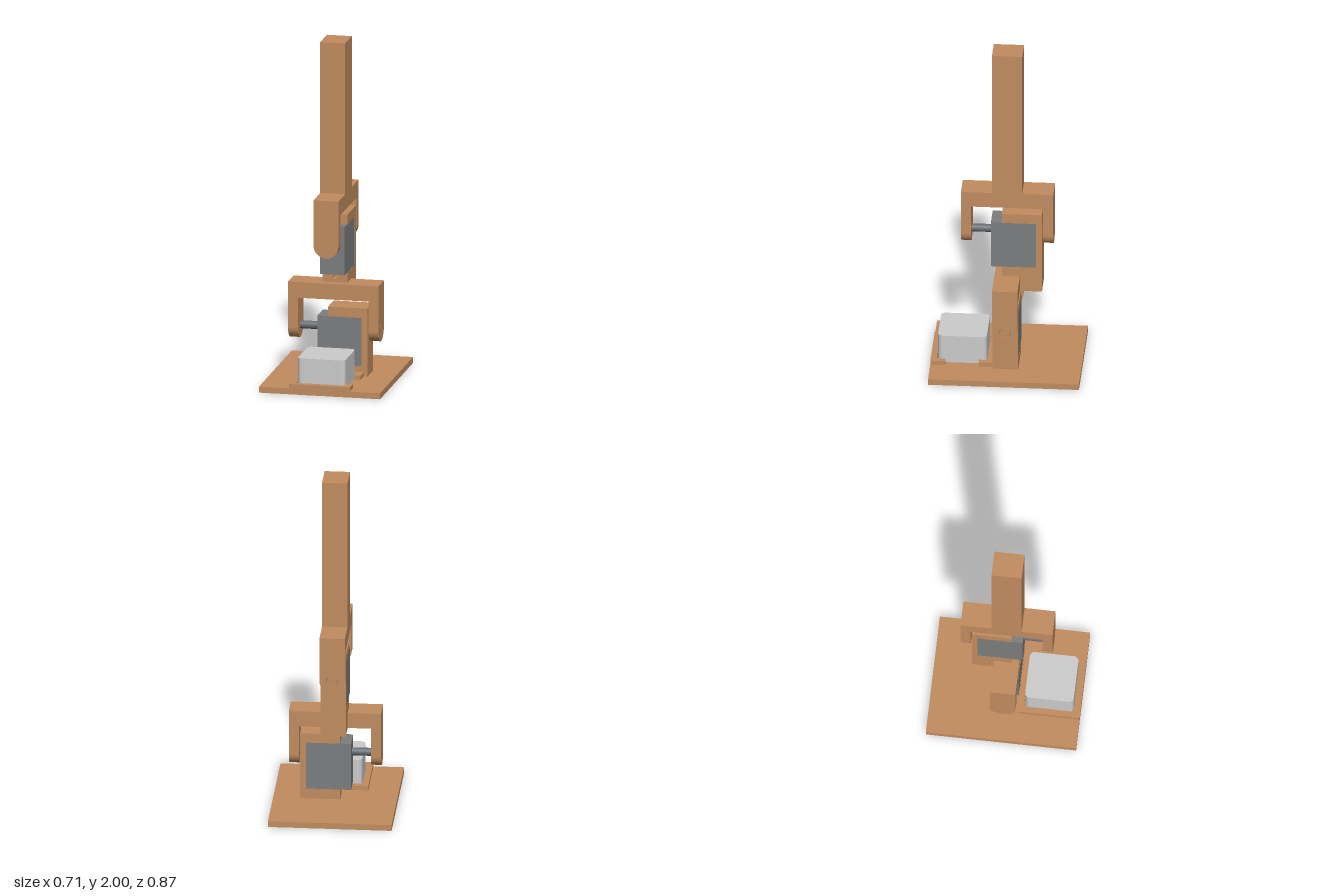
import * as THREE from 'three';

const mat = (color) => new THREE.MeshStandardMaterial({ color, roughness: 0.8 });
const WOOD = mat(0xc18c5f), MOTOR = mat(0x7b7d7e), SHAFT = mat(0x666b70), CASE = mat(0xd2d2cf);
const HALF = 0.073; // half width of brackets and yokes

function add(parent, name, geometry, material) {
  const mesh = new THREE.Mesh(geometry, material);
  mesh.name = name;
  parent.add(mesh);
  return mesh;
}

// Box given by its minimum and maximum on each axis
function box(parent, name, [x0, x1], [y0, y1], [z0, z1], material = WOOD) {
  const mesh = add(parent, name, new THREE.BoxGeometry(x1 - x0, y1 - y0, z1 - z0), material);
  mesh.position.set((x0 + x1) / 2, (y0 + y1) / 2, (z0 + z1) / 2);
  return mesh;
}

function rectangle(x0, x1, y0, y1) {
  return new THREE.Shape([[x0, y0], [x1, y0], [x1, y1], [x0, y1]].map(([x, y]) => new THREE.Vector2(x, y)));
}

function drill(shape, x, y, r) {
  shape.holes.push(new THREE.Path().absarc(x, y, r, 0, Math.PI * 2, true));
  return shape;
}

// Plate extruded along z from z0 to z1
function plate(shape, z0, z1) {
  const geometry = new THREE.ExtrudeGeometry(shape, { depth: z1 - z0, bevelEnabled: false, curveSegments: 24 });
  return geometry.translate(0, 0, z0);
}

// Cylinder or cone along z
function rod(r0, r1, z0, z1) {
  return new THREE.CylinderGeometry(r1, r0, z1 - z0, 32).rotateX(Math.PI / 2).translate(0, 0, (z0 + z1) / 2);
}

// Yoke arm with a round lower end
function armShape() {
  const shape = new THREE.Shape();
  shape.moveTo(HALF, 0.267);
  shape.lineTo(-HALF, 0.267);
  shape.lineTo(-HALF, 0);
  shape.absarc(0, 0, HALF, Math.PI, Math.PI * 2, false);
  shape.lineTo(HALF, 0.267);
  return shape;
}

// Motor, its bracket and the yoke it turns; pivot at the origin, shaft toward +z
function makeJoint(name) {
  const joint = new THREE.Group();
  joint.name = name;

  // Bracket: two drilled bars joined by a back wall
  const bracket = new THREE.Group();
  bracket.name = 'motorBracket';
  for (const [y0, y1] of [[-0.27, -0.21], [0.075, 0.132]]) {
    const shape = drill(rectangle(-HALF, HALF, y0, y1), 0, (y0 + y1) / 2, 0.012);
    add(bracket, 'bracketBar', plate(shape, -0.167, 0.03), WOOD);
  }
  box(bracket, 'bracketWall', [-HALF, HALF], [-0.27, 0.132], [-0.2, -0.167]);
  add(bracket, 'pivotCollar', rod(0.031, 0.053, -0.207, -0.2), WOOD);
  add(bracket, 'pivotPin', rod(0.03, 0.03, -0.265, -0.2), WOOD);

  // Motor
  box(joint, 'motor', [-0.072, 0.072], [-0.21, 0.075], [-0.167, 0.093], MOTOR);
  add(joint, 'motorShaft', rod(0.023, 0.023, 0.093, 0.215), SHAFT);

  // Yoke
  const yoke = new THREE.Group();
  yoke.name = 'yoke';
  box(yoke, 'yokeBar', [-HALF, HALF], [0.174, 0.267], [-0.207, 0.207]);
  add(yoke, 'shaftArm', plate(armShape(), 0.207, 0.265), WOOD);
  add(yoke, 'pivotArm', plate(drill(armShape(), 0, 0, 0.034), -0.265, -0.207), WOOD);
  joint.add(bracket, yoke);
  return joint;
}

export function createModel() {
  const model = new THREE.Group();
  model.name = 'jointedArm';

  // Base plate with two holes
  const base = rectangle(-0.355, 0.355, -0.433, 0.433);
  drill(base, 0, -0.258, 0.016);
  drill(base, 0, 0, 0.007);
  add(model, 'basePlate', plate(base, 0, 0.035).rotateX(-Math.PI / 2), WOOD);

  // Low rim around the case, open on one side
  const rim = new THREE.Shape([
    [-0.179, 0.073], [0.178, 0.073], [0.178, 0.155], [0.143, 0.155], [0.143, 0.108], [-0.143, 0.108],
    [-0.143, 0.397], [0.143, 0.397], [0.143, 0.348], [0.178, 0.348], [0.178, 0.433], [-0.179, 0.433],
  ].map(([x, z]) => new THREE.Vector2(x, -z)));
  add(model, 'caseRim', plate(rim, 0.035, 0.06).rotateX(-Math.PI / 2), WOOD);

  // Case with rounded upright edges
  const a = 0.14, r = 0.028, c = a - r;
  const outline = new THREE.Shape();
  [[c, c], [-c, c], [-c, -c], [c, -c]].forEach(([x, y], i) =>
    outline.absarc(x, y, r, i * Math.PI / 2, (i + 1) * Math.PI / 2, false));
  const box0 = add(model, 'electronicsCase', plate(outline, 0.035, 0.205).rotateX(-Math.PI / 2), CASE);
  box0.position.z = 0.2525;

  // Two joints at right angles to each other
  const lower = makeJoint('lowerJoint');
  lower.position.y = 0.305;
  lower.rotation.y = -Math.PI / 2;
  const upper = makeJoint('upperJoint');
  upper.position.y = 0.842;
  model.add(lower, upper);

  // Foot carrying the upper bracket behind the lower yoke
  box(model, 'bracketFoot', [-HALF, HALF], [0.479, 0.572], [-0.2, -HALF]);

  // Upright beam
  box(model, 'beam', [-HALF, HALF], [1.109, 2], [-0.087, 0.087]);
  return model;
}
